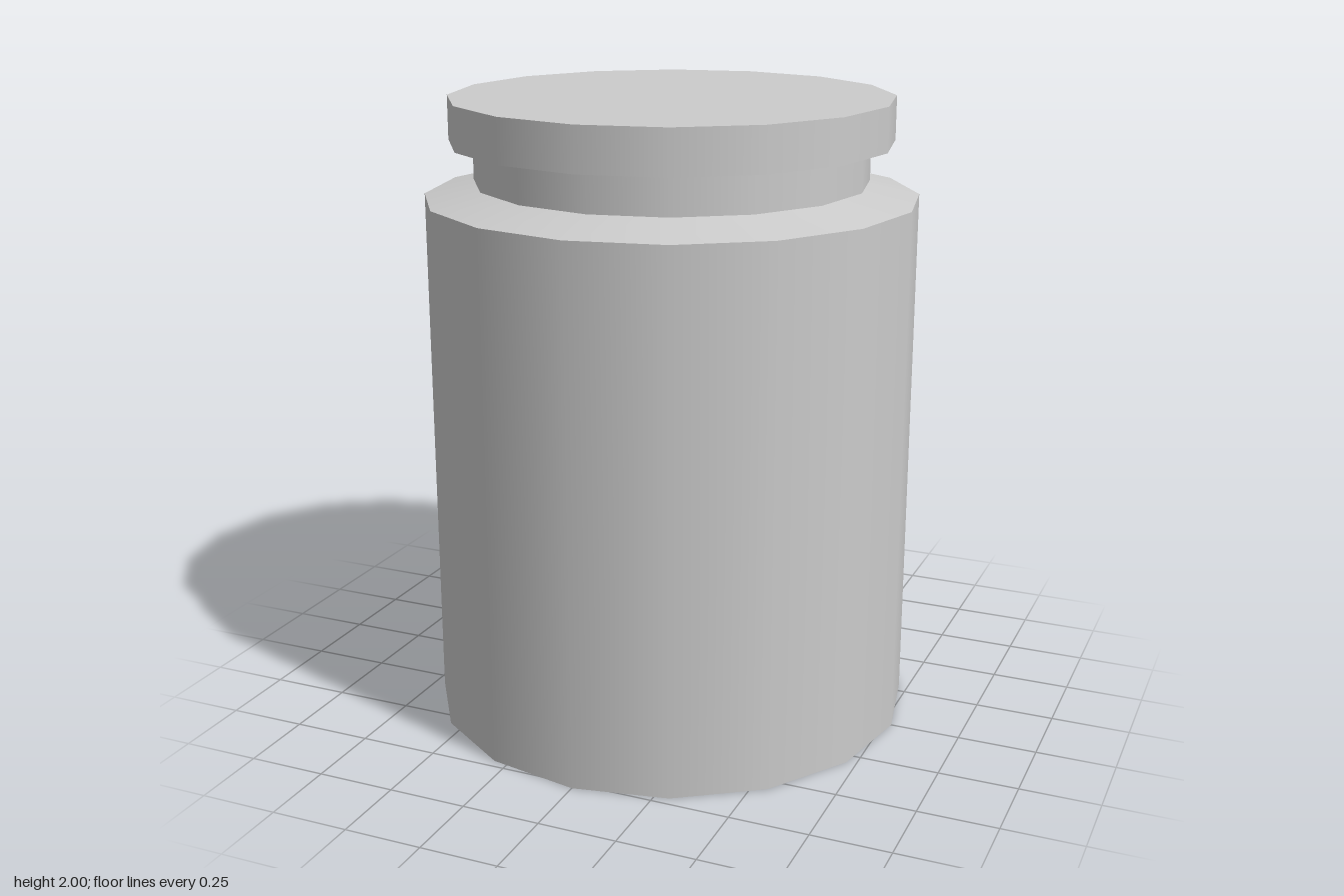
import * as THREE from 'three';

const SIDES = 16;

export function createModel() {
  const group = new THREE.Group();
  const material = new THREE.MeshStandardMaterial({ color: 0xcccccc });

  // Upright round section from y0 to y1, smooth around and sharp at the rims
  const addSection = (name, bottomRadius, topRadius, y0, y1) => {
    const geometry = new THREE.CylinderGeometry(topRadius, bottomRadius, y1 - y0, SIDES);
    const mesh = new THREE.Mesh(geometry, material);
    mesh.name = name;
    mesh.position.y = (y0 + y1) / 2;
    group.add(mesh);
  };

  addSection('body', 0.777, 0.777, 0, 1.692);
  // The shoulder narrows slightly inside the neck, leaving a tiny overhang
  addSection('shoulder', 0.777, 0.58, 1.692, 1.737);
  addSection('neck', 0.621, 0.621, 1.737, 1.862);
  addSection('lid', 0.696, 0.696, 1.862, 2);

  return group;
}
